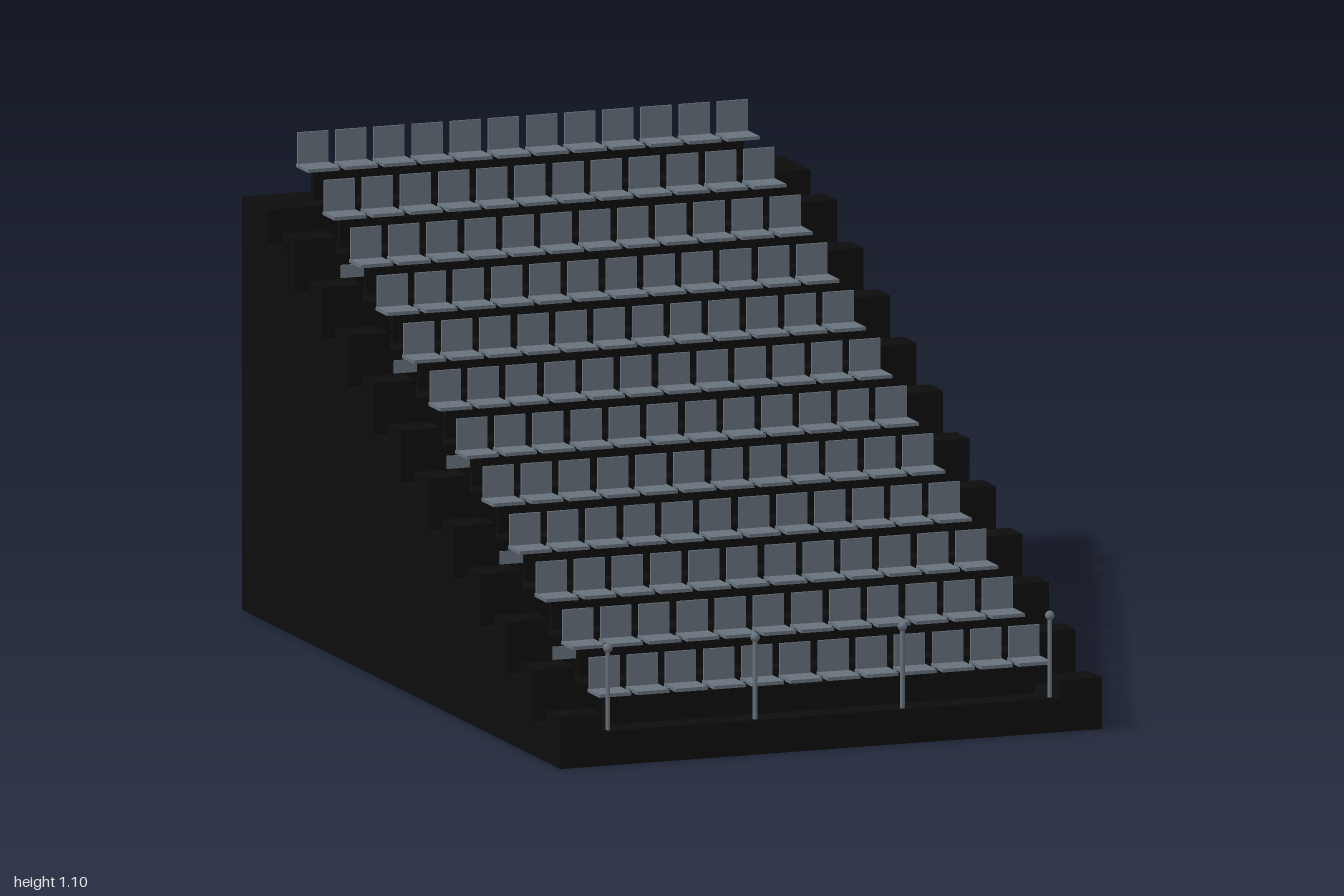
import * as THREE from 'three';

const ROWS = 12, SEATS = 12, WIDTH = 1.31, RISE = 0.95 / ROWS, RUN = 2 / ROWS;

export function createModel() {
  const model = new THREE.Group();
  model.name = 'grandstand';
  const concrete = new THREE.MeshStandardMaterial({ color: 0x0d0d0d });
  concrete.name = 'black platform';
  const grey = new THREE.MeshStandardMaterial({ color: 0x68737d });
  grey.name = 'slate grey';

  const add = (parent, name, geometry, material, x, y, z) => {
    const mesh = new THREE.Mesh(geometry, material);
    mesh.name = name;
    mesh.position.set(x, y, z);
    parent.add(mesh);
    return mesh;
  };

  // Stepped platform: side profile drawn as (-z, y) and extruded across the width
  const profile = new THREE.Shape();
  profile.moveTo(-1, 0);
  for (let r = 0; r < ROWS; r++) {
    profile.lineTo(-1 + r * RUN, (r + 1) * RISE);
    profile.lineTo(-1 + (r + 1) * RUN, (r + 1) * RISE);
  }
  profile.lineTo(1, 0);
  const platform = new THREE.ExtrudeGeometry(profile, { depth: WIDTH, bevelEnabled: false });
  platform.translate(0, 0, -WIDTH / 2);
  platform.rotateY(Math.PI / 2);
  add(model, 'steppedPlatform', platform, concrete, 0, 0, 0);

  // Shared shapes
  const aisleStep = new THREE.BoxGeometry(0.1, 0.04, 0.08);
  const rail = new THREE.BoxGeometry(1.04, 0.072, 0.014);
  const pan = new THREE.BoxGeometry(0.078, 0.008, 0.074);
  const back = new THREE.BoxGeometry(0.074, 0.075, 0.006);
  const plate = new THREE.BoxGeometry(0.07, 0.03, 0.004);

  for (let r = 0; r < ROWS; r++) {
    const row = new THREE.Group();
    row.name = 'seatRow';
    row.position.set(0, (r + 1) * RISE, 1 - r * RUN);
    model.add(row);

    // Support rail and seats
    add(row, 'seatRail', rail, concrete, 0, 0.036, -0.076);
    for (let s = 0; s < SEATS; s++) {
      const x = (s - (SEATS - 1) / 2) * 0.0922;
      add(row, 'seatPan', pan, grey, x, 0.074, -0.073);
      add(row, 'seatBack', back, grey, x, 0.1125, -0.107);
    }

    // Half steps in the side aisles
    if (r < ROWS - 1) {
      for (const side of [-1, 1]) {
        add(row, 'aisleStep', aisleStep, concrete, side * (WIDTH / 2 - 0.05), 0.02, -0.04);
      }
    }

    // Row marker on every second riser
    if (r > 0 && r % 2 === 0) add(row, 'rowMarker', plate, grey, -0.51, -0.04, 0.001);
  }

  // Front posts with ball tops
  const post = new THREE.CylinderGeometry(0.0055, 0.0055, 0.185, 12);
  const ball = new THREE.SphereGeometry(0.011, 12, 8);
  for (let i = 0; i < 4; i++) {
    const x = (i - 1.5) * 0.356;
    add(model, 'frontPost', post, grey, x, RISE + 0.0925, 0.986);
    add(model, 'postBall', ball, grey, x, 0.267, 0.986);
  }
  return model;
}
